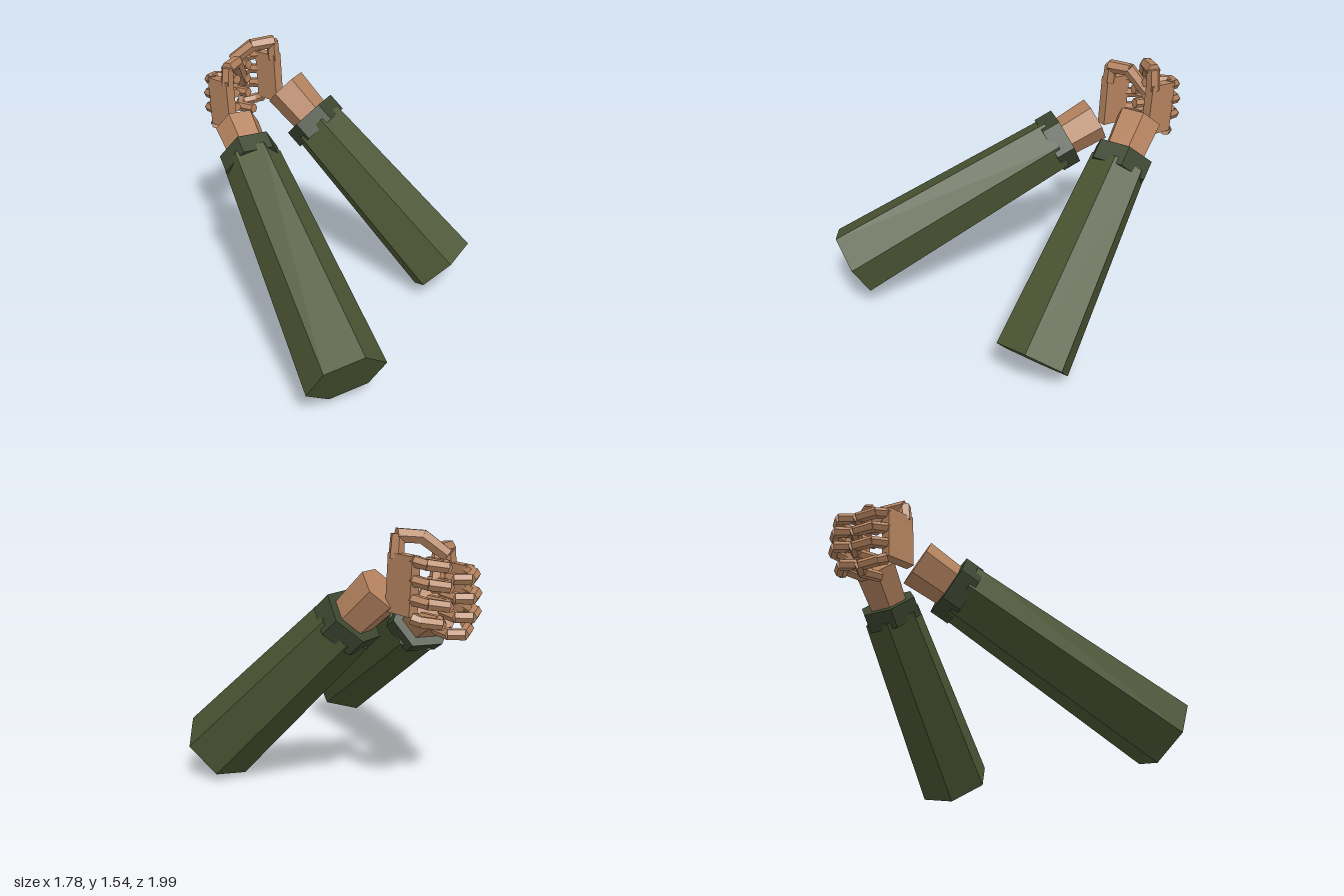
import * as THREE from 'three';

const mat = (color) => new THREE.MeshStandardMaterial({ color, flatShading: true });
const skin = mat(0xb5835f);
const cloth = mat(0x4b5533);
const trim = mat(0x3c4630);
const V = (p) => new THREE.Vector3(...p);

// Six-sided prism from p to q; turn is the angle of its first corner away from "up"
function hexPrism(name, p, q, r0, r1, turn, material) {
  const d = q.clone().sub(p);
  const length = d.length();
  d.normalize();
  const up = Math.abs(d.y) > 0.95 ? new THREE.Vector3(0, 0, 1) : new THREE.Vector3(0, 1, 0);
  up.addScaledVector(d, -up.dot(d)).normalize();
  const side = d.clone().cross(up);
  const geo = new THREE.CylinderGeometry(r1, r0, length, 6, 1, false, THREE.MathUtils.degToRad(turn));
  const mesh = new THREE.Mesh(geo, material);
  mesh.name = name;
  mesh.quaternion.setFromRotationMatrix(new THREE.Matrix4().makeBasis(side, d, up));
  mesh.position.copy(p).add(q).multiplyScalar(0.5);
  return mesh;
}

// Chain of prisms along a list of points
function digit(name, points, r) {
  const g = new THREE.Group();
  g.name = name;
  for (let i = 0; i < points.length - 1; i++) {
    const p = V(points[i]), q = V(points[i + 1]);
    const ext = q.clone().sub(p).setLength(0.008);
    g.add(hexPrism(name + 'Segment' + (i + 1), p.sub(ext), q.add(ext), r, r * 0.93, 30, skin));
  }
  return g;
}

// Sleeve, cuff and wrist along one axis
function forearm(name, start, dir, cuffAt, wristEnd) {
  const g = new THREE.Group();
  g.name = name;
  const c = V(start), d = V(dir).normalize();
  const at = (t) => c.clone().addScaledVector(d, t);
  g.add(hexPrism('sleeve', at(0), at(cuffAt + 0.04), 0.231, 0.179, 13.5, cloth));
  g.add(hexPrism('cuff', at(cuffAt), at(cuffAt + 0.12), 0.186, 0.186, 30, trim));
  g.add(hexPrism('wrist', at(cuffAt + 0.05), at(wristEnd), 0.125, 0.14, 30, skin));
  return g;
}

// Palm slab, four curled fingers and a thumb; s = +1 for the left hand
function hand(name, s, x, y, thumbPath) {
  const g = new THREE.Group();
  g.name = name;
  const palm = new THREE.Mesh(new THREE.BoxGeometry(0.06, 0.31, 0.18), skin);
  palm.name = 'palm';
  palm.position.set(x, y, -0.75);
  palm.rotation.x = -0.06;
  g.add(palm);
  for (let i = 0; i < 4; i++) {
    const fy = y + 0.125 - i * 0.098;
    const reach = i === 3 ? 0.05 : i === 0 ? 0.015 : 0;
    g.add(digit('finger' + (i + 1), [
      [x, fy, -0.83],
      [x - s * 0.025, fy - 0.015, -0.915 + reach],
      [x - s * 0.11, fy - 0.03, -0.965 + reach],
      [x - s * 0.165, fy - 0.03, -0.91 + reach],
      [x - s * 0.15, fy - 0.02, -0.80 + reach],
    ], 0.033));
  }
  g.add(digit('thumb', thumbPath, 0.042));
  return g;
}

export function createModel() {
  const model = new THREE.Group();
  model.name = 'claspedArms';

  model.add(forearm('rightForearm', [-0.698, 0.28, 0.885], [0.319, 0.45, -0.834], 1.45, 1.787));
  model.add(forearm('leftForearm', [0.663, 0.172, 0.463], [-0.248, 0.684, -0.688], 1.19, 1.545));

  model.add(hand('rightHand', -1, -0.12, 1.19, [
    [-0.115, 1.33, -0.70], [-0.105, 1.425, -0.70], [0.01, 1.425, -0.75], [0.14, 1.24, -0.85],
  ]));
  model.add(hand('leftHand', 1, 0.28, 1.265, [
    [0.28, 1.40, -0.70], [0.27, 1.51, -0.70], [0.15, 1.5, -0.76], [0.06, 1.41, -0.84],
  ]));
  return model;
}
